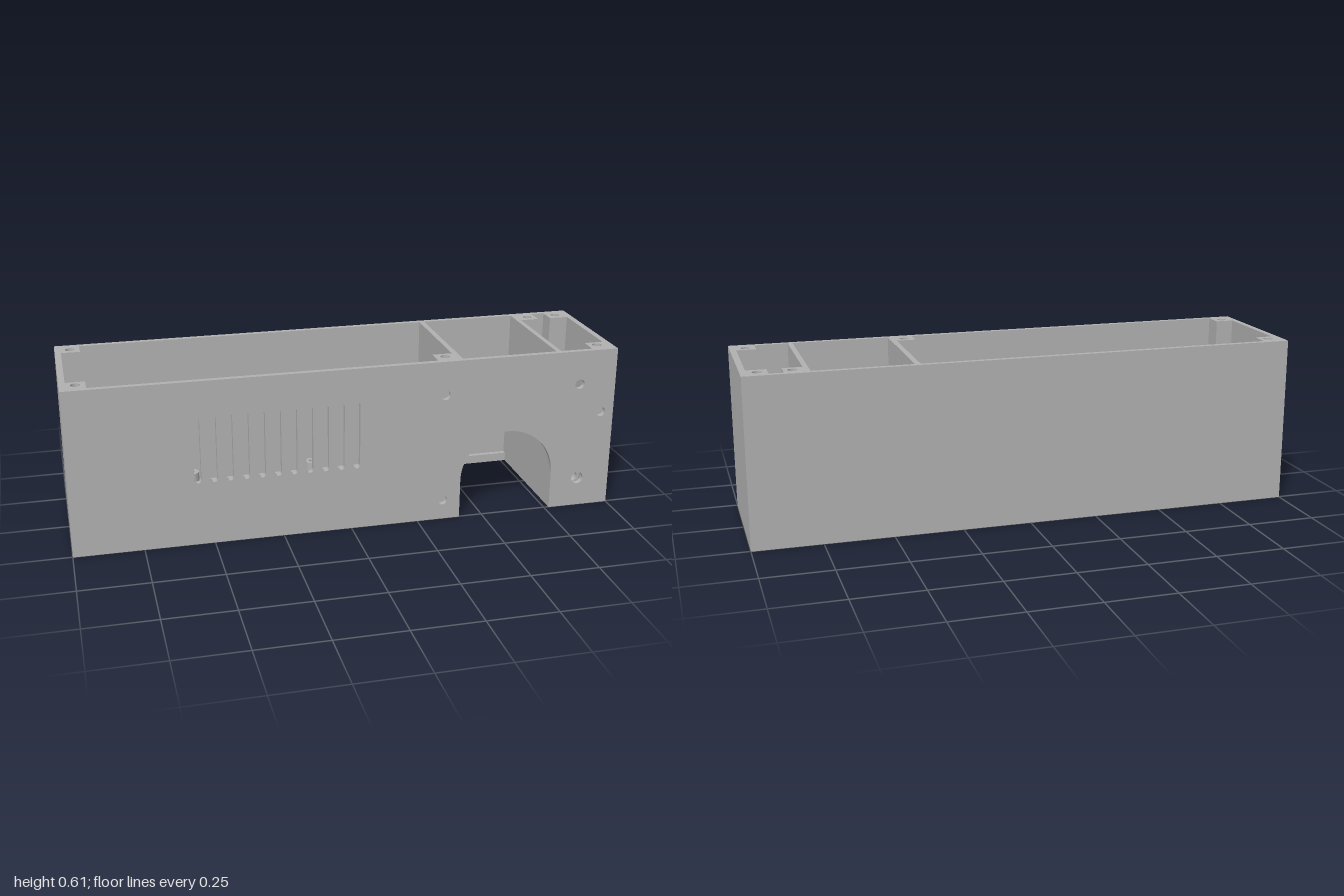
import * as THREE from 'three';

const H = 0.612, D = 0.253, W = 0.02, FLOOR = 0.033;

export function createModel() {
  const root = new THREE.Group();
  root.name = 'enclosure';
  const grey = new THREE.MeshStandardMaterial({ color: 0xb0b0b0 });
  grey.name = 'grey plastic';

  const add = (name, geo, x = 0, y = 0, z = 0) => {
    const m = new THREE.Mesh(geo, grey);
    m.name = name;
    m.position.set(x, y, z);
    root.add(m);
    return m;
  };
  const box = (name, x0, x1, y0, y1, z0, z1) =>
    add(name, new THREE.BoxGeometry(x1 - x0, y1 - y0, z1 - z0), (x0 + x1) / 2, (y0 + y1) / 2, (z0 + z1) / 2);

  // Outline helpers
  const rect = (x0, x1, y0, y1, Type = THREE.Shape) => {
    const s = new Type();
    s.moveTo(x0, y0);
    s.lineTo(x1, y0);
    s.lineTo(x1, y1);
    s.lineTo(x0, y1);
    s.closePath();
    return s;
  };
  const circle = (x, y, r, Type = THREE.Path) => {
    const p = new Type();
    p.absarc(x, y, r, 0, Math.PI * 2, false);
    return p;
  };
  const extrude = (shape, depth) =>
    new THREE.ExtrudeGeometry(shape, { depth, bevelEnabled: false, curveSegments: 24 });
  // Horizontal plate: outline is drawn in (x, -z) and raised along y
  const plate = (name, shape, y, h) => add(name, extrude(shape, h).rotateX(-Math.PI / 2), 0, y, 0);

  // Front wall with arch, vent slots and screw holes
  const front = new THREE.Shape();
  front.moveTo(-1, 0);
  front.lineTo(0.412, 0);
  front.lineTo(0.412, 0.147);
  front.absarc(0.59, 0.147, 0.178, Math.PI, 0, true);
  front.lineTo(0.768, 0);
  front.lineTo(1, 0);
  front.lineTo(1, H);
  front.lineTo(-1, H);
  front.closePath();
  for (let i = 0; i < 11; i++) {
    const x = -0.553 + i * 0.0571, r = 0.0125;
    const slot = new THREE.Path();
    slot.absarc(x, 0.235 + r, r, Math.PI, Math.PI * 2, false);
    slot.absarc(x, 0.485 - r, r, 0, Math.PI, false);
    slot.closePath();
    front.holes.push(slot);
  }
  [[0.345, 0.485, 0.018], [0.345, 0.075, 0.018], [0.86, 0.485, 0.018], [0.95, 0.37, 0.018], [0.875, 0.11, 0.023]]
    .forEach(([x, y, r]) => front.holes.push(circle(x, y, r)));
  add('frontWall', extrude(front, W), 0, 0, D - W);

  // Back wall: plain skin with a shallow pocket on its inner face
  box('backSkin', -1, 1, 0, H, -D, -D + 0.012);
  const inner = rect(-1, 1, 0, H);
  inner.holes.push(rect(-0.66, 0.26, FLOOR, 0.37, THREE.Path));
  add('backInnerPanel', extrude(inner, W - 0.012), 0, 0, -D + 0.012);

  // End walls and partitions
  [[-1, -0.978, 'rightEnd'], [0.978, 1, 'leftEnd'], [0.392, 0.412, 'bayPartition'], [0.768, 0.786, 'bayPartition']]
    .forEach(([a, b, n]) => box(n, a, b, 0, H, -D + W, D - W));

  // Floors with cut-outs
  const floorA = rect(-0.978, 0.392, -D + W, D - W);
  floorA.holes.push(rect(0.24, 0.362, 0.108, 0.232, THREE.Path));
  for (const x of [-0.595, 0.2]) for (const z of [-0.18, 0.18]) floorA.holes.push(circle(x, z, 0.016));
  plate('mainFloor', floorA, 0, FLOOR);
  const floorB = rect(0.786, 0.978, -D + W, D - W);
  floorB.holes.push(rect(0.812, 0.888, -0.11, 0.038, THREE.Path));
  floorB.holes.push(circle(0.85, 0.06, 0.01), circle(0.85, -0.136, 0.01));
  plate('sideFloor', floorB, 0, FLOOR);
  box('bayLedge', 0.412, 0.768, 0, FLOOR, -D + W, -0.215);

  // Full-height screw posts: x range, z range, hole centre
  [
    [-0.978, -0.91, -0.233, -0.165, -0.945, -0.2],
    [-0.978, -0.91, 0.165, 0.233, -0.945, 0.195],
    [0.32, 0.392, 0.165, 0.233, 0.357, 0.195],
    [0.786, 0.857, -0.233, -0.165, 0.825, -0.2],
    [0.907, 0.978, -0.233, -0.165, 0.942, -0.2],
    [0.907, 0.978, 0.165, 0.233, 0.942, 0.195],
  ].forEach(([x0, x1, z0, z1, hx, hz]) => {
    const s = rect(x0, x1, -z1, -z0);
    s.holes.push(circle(hx, -hz, 0.017));
    box('postBase', x0, x1, FLOOR, 0.45, z0, z1);
    plate('screwPost', s, 0.45, H - 0.45);
  });

  // Hollow standoffs on the floor
  const standoff = (x, z, r, hole) => {
    const s = circle(x, -z, r, THREE.Shape);
    s.holes.push(circle(x, -z, hole));
    plate('standoff', s, FLOOR, 0.05);
  };
  for (const x of [-0.845, -0.685]) for (const z of [-0.135, -0.02, 0.062, 0.175]) standoff(x, z, 0.032, 0.017);
  for (const x of [0.155, 0.32]) for (const z of [-0.07, 0.045]) standoff(x, z, 0.032, 0.017);
  for (const x of [-0.52, -0.045]) for (const z of [-0.205, 0.193]) standoff(x, z, 0.027, 0.012);

  // Pair of tall bracket posts, each with a small screw hole
  for (const [x0, x1, hx] of [[0.09, 0.126, 0.115], [0.332, 0.37, 0.345]]) {
    const s = rect(x0, x1, -0.143, -0.08);
    s.holes.push(circle(hx, -0.11, 0.008));
    box('bracketBase', x0, x1, FLOOR, 0.4, 0.08, 0.143);
    plate('bracketPost', s, 0.4, 0.06);
  }

  // Bosses behind the front wall holes
  const socket = rect(0.83, 0.89, 0.075, 0.145);
  socket.holes.push(circle(0.875 - 0.012, 0.11, 0.02));
  add('frontSocket', extrude(socket, 0.048), 0, 0, 0.185);
  const boss = circle(0.345, 0.485, 0.032, THREE.Shape);
  boss.holes.push(circle(0.345, 0.485, 0.018));
  add('frontBoss', extrude(boss, 0.09), 0, 0, 0.143);

  return root;
}
